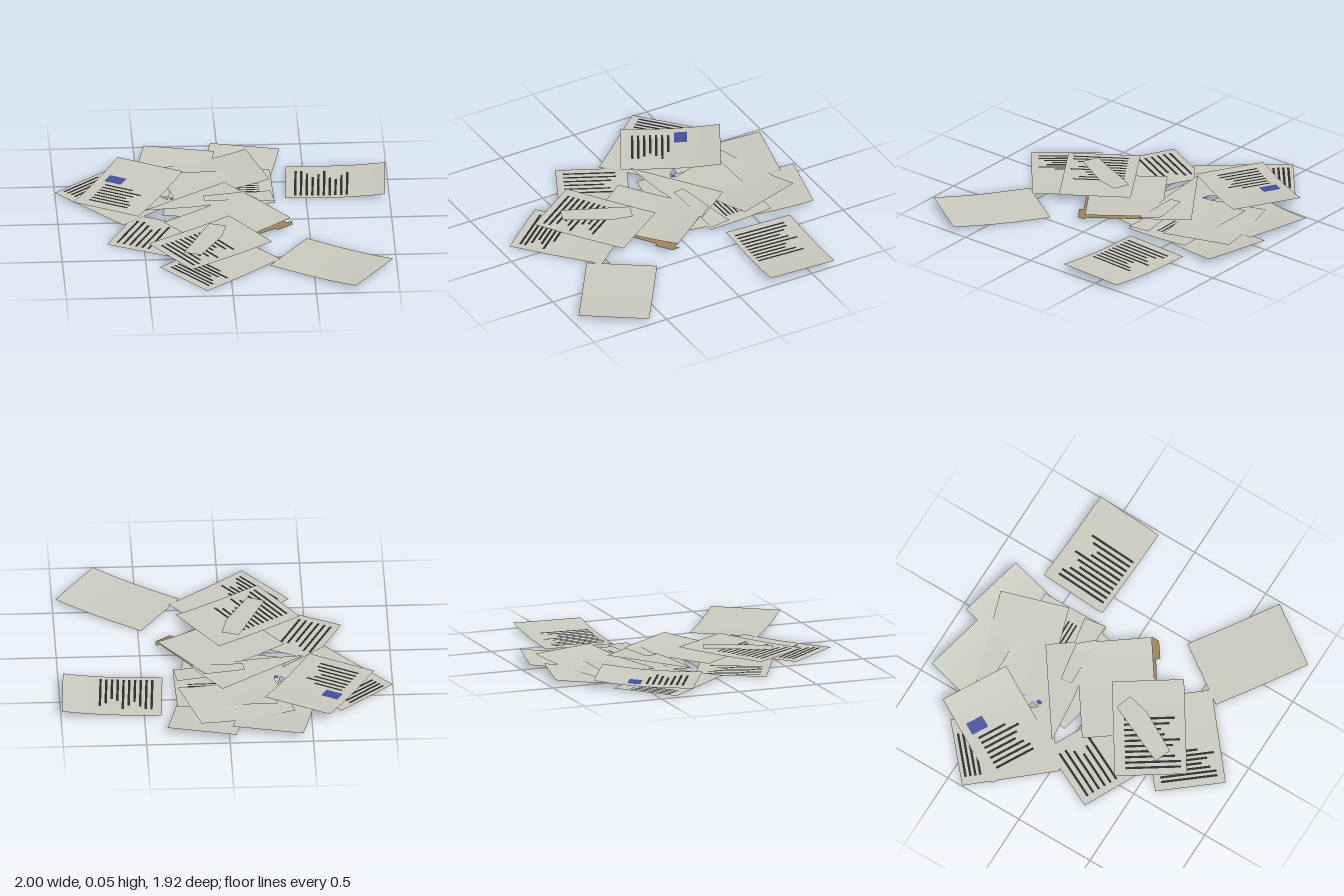
import * as THREE from 'three';

const mat = (name, color) => {
  const m = new THREE.MeshStandardMaterial({ color, side: THREE.DoubleSide });
  m.name = name;
  return m;
};

export function createModel() {
  const model = new THREE.Group();
  const paper = mat('paper', 0xcac9be);
  const ink = mat('ink', 0x29292c);
  const blue = mat('blueStamp', 0x42509a);
  const card = mat('brownCard', 0x9c825a);

  // Curved patch of a sheet: u runs along the long edge a-d, v along the short edge a-b
  function patch(s, u0, u1, v0, v1, lift, nu, material, name) {
    const pos = [], idx = [];
    for (let i = 0; i <= nu; i++) {
      const u = u0 + (u1 - u0) * i / nu;
      const y = s.y + s.rise * Math.max(0, (u - 0.3) / 0.7) ** 2 + lift;
      for (const v of [v0, v1]) {
        pos.push(s.a[0] + u * (s.d[0] - s.a[0]) + v * (s.b[0] - s.a[0]), y,
          s.a[1] + u * (s.d[1] - s.a[1]) + v * (s.b[1] - s.a[1]));
      }
      if (i < nu) {
        const k = i * 2;
        idx.push(k, k + 1, k + 2, k + 1, k + 3, k + 2);
      }
    }
    // Keep the front faces upward whichever way the corners run
    const up = (s.b[1] - s.a[1]) * (s.d[0] - s.a[0]) - (s.b[0] - s.a[0]) * (s.d[1] - s.a[1]) > 0;
    if (!up) idx.reverse();
    const g = new THREE.BufferGeometry();
    g.setAttribute('position', new THREE.Float32BufferAttribute(pos, 3));
    g.setIndex(idx);
    g.computeVertexNormals();
    const mesh = new THREE.Mesh(g, material);
    mesh.name = name;
    return mesh;
  }

  // A sheet with optional printed lines: [count, uStart, uEnd, vStart, vEnd]
  const ragged = [1, 1, 0.9, 0.76, 0.87, 1, 0.72, 0.66, 0.82, 0.92];
  function sheet(name, y, rise, a, b, d, lines, stamp) {
    const s = { y, rise, a, b, d };
    const g = new THREE.Group();
    g.name = name;
    g.add(patch(s, 0, 1, 0, 1, 0, 12, paper, 'page'));
    if (lines) {
      const [n, u0, u1, v0, v1] = lines;
      for (let i = 0; i < n; i++) {
        const u = u0 + (u1 - u0) * i / (n - 1);
        g.add(patch(s, u - 0.012, u + 0.012, v0, v0 + (v1 - v0) * ragged[i], 0.0012, 1, ink, 'printedLine'));
      }
    }
    if (stamp) g.add(patch(s, ...stamp, 0.0015, 2, blue, 'blueStamp'));
    model.add(g);
  }

  // Flat outline given in x, z
  function flat(name, y, pts, material) {
    const shape = new THREE.Shape(pts.map(([x, z]) => new THREE.Vector2(x, -z)));
    const m = new THREE.Mesh(new THREE.ShapeGeometry(shape).rotateX(-Math.PI / 2), material);
    m.position.y = y;
    m.name = name;
    model.add(m);
  }

  // Loose sheets on the right
  sheet('looseRightPage', 0.01, 0.026, [0.375, -0.265], [0.4, -0.69], [0.97, -0.235], [10, 0.1, 0.62, 0.07, 0.84]);
  sheet('looseFrontPage', 0.006, 0.022, [0.48, 0.27], [0.24, 0.62], [0.98, 0.61]);

  // Back of the pile
  sheet('backLeftPage', 0.002, 0.03, [-0.57, -0.38], [-0.15, -0.285], [-0.44, -0.96]);
  sheet('backRightPage', 0.006, 0.03, [-0.17, -0.385], [0.24, -0.29], [-0.04, -0.965]);
  sheet('lowerMiddlePage', 0.01, 0, [-0.37, -0.07], [-0.29, -0.5], [0.22, 0.05], null, [0.02, 0.06, 0.48, 0.55]);
  sheet('printedMiddlePage', 0.0125, 0.012, [0.31, -0.195], [-0.29, -0.18], [0.3, -0.62], [5, 0.38, 0.62, 0.13, 0.42]);
  sheet('curledBackPage', 0.015, 0.034, [-0.405, -0.675], [-0.28, -0.27], [0.165, -0.85]);

  // Left of the pile
  sheet('farLeftPage', 0.01, 0, [-1, -0.4], [-0.68, -0.68], [-0.61, 0.05], [4, 0.05, 0.2, 0.12, 0.78]);
  sheet('stampedPage', 0.018, 0.032, [-0.895, -0.255], [-0.515, -0.045], [-0.605, -0.78],
    [7, 0.12, 0.48, 0.16, 0.75], [0.54, 0.67, 0.11, 0.36]);
  sheet('leftFrontPage', 0.004, 0.006, [-0.72, 0.29], [-0.53, -0.095], [-0.185, 0.555], [6, 0.08, 0.42, 0.1, 0.84]);

  // Front of the pile
  sheet('frontPage', 0, 0.012, [-0.42, 0.6], [-0.15, 0.93], [0.035, 0.22], [7, 0.09, 0.39, 0.1, 0.9]);
  sheet('upperFrontPage', 0.034, 0.01, [-0.475, 0.35], [-0.235, 0.71], [0.025, 0.02], [10, 0.08, 0.6, 0.15, 0.92]);

  // Card folder with its tab, and the curled page over it
  flat('cardFolder', 0.021, [[0.385, 0.105], [0.14, -0.24], [-0.3, 0.06], [-0.04, 0.385]], card);
  flat('cardTab', 0.024, [[0.4, 0.07], [0.4, 0.12], [0.31, 0.185], [0.27, 0.15]], card);
  sheet('centrePage', 0.026, 0.023, [-0.37, 0.055], [-0.1, 0.42], [0.12, -0.29]);

  // Folded pieces on top
  flat('foldedPage', 0.035, [[0.02, -0.445], [0.2, -0.2], [-0.18, -0.12], [-0.48, -0.09]], paper);
  flat('backFlap', 0.044, [[-0.12, -0.25], [0.12, -0.29], [0.21, -0.19], [-0.11, -0.18]], paper);
  flat('sideFlap', 0.028, [[0.1, -0.3], [0.29, -0.335], [0.31, -0.2], [0.15, -0.2]], paper);
  flat('frontFlap', 0.05, [[-0.1, 0.13], [0, 0.165], [-0.03, 0.3], [-0.17, 0.55], [-0.27, 0.51]], paper);

  return model;
}
